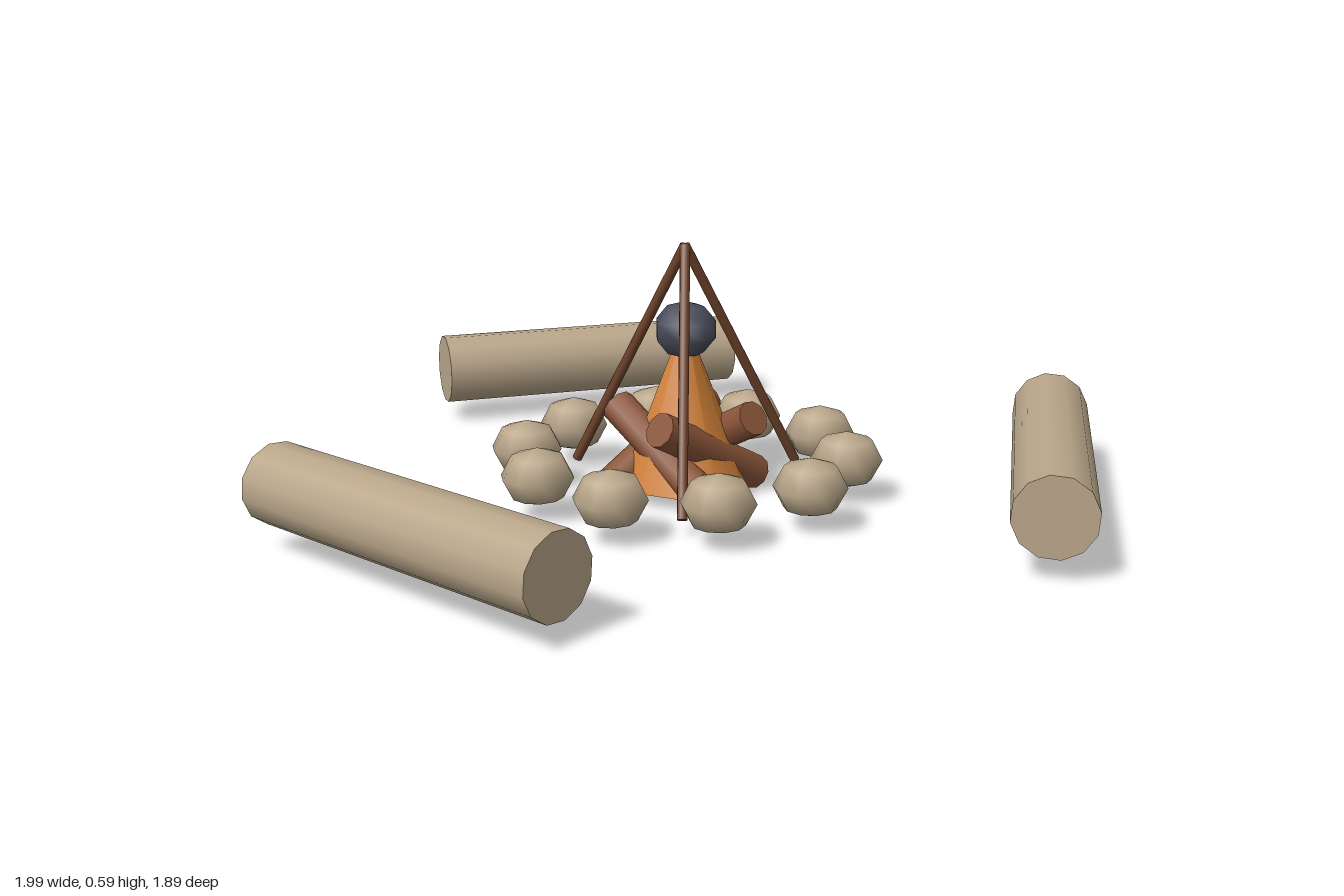
import * as THREE from 'three';

const mat = (name, color) => {
  const m = new THREE.MeshStandardMaterial({ color });
  m.name = name;
  return m;
};

export function createModel() {
  const tan = mat('paleWoodAndStone', 0xb9a68a);
  const brown = mat('firewoodBrown', 0x8b5539);
  const darkBrown = mat('poleBrown', 0x6f432c);
  const orange = mat('flameOrange', 0xd08038);
  const iron = mat('ironGrey', 0x4b4e5c);

  const model = new THREE.Group();
  model.name = 'campfire';
  const V = (x, y, z) => new THREE.Vector3(x, y, z);

  const add = (parent, name, geometry, material, pos) => {
    const mesh = new THREE.Mesh(geometry, material);
    mesh.name = name;
    mesh.position.copy(pos);
    parent.add(mesh);
    return mesh;
  };

  // Round bar running from point a to point b
  const bar = (parent, name, a, b, radius, sides, material) => {
    const dir = b.clone().sub(a);
    const geometry = new THREE.CylinderGeometry(radius, radius, dir.length(), sides);
    const mesh = add(parent, name, geometry, material, a.clone().add(b).multiplyScalar(0.5));
    mesh.quaternion.setFromUnitVectors(V(0, 1, 0), dir.normalize());
  };

  // Log seats around the fire
  [
    [-0.235, -0.86, 0.557, -0.72],
    [-0.915, -0.083, -0.625, 0.71],
    [0.927, 0.238, 0.38, 0.888],
  ].forEach(([x1, z1, x2, z2]) =>
    bar(model, 'logSeat', V(x1, 0.135, z1), V(x2, 0.135, z2), 0.09, 12, tan));

  // Fire pit
  const pit = new THREE.Group();
  pit.name = 'firePit';
  pit.position.set(0.015, 0, 0.025);
  model.add(pit);

  // Ring of stones
  const stoneGeometry = new THREE.SphereGeometry(0.083, 10, 4).scale(1, 0.8, 1);
  for (let i = 0; i < 10; i++) {
    const a = (i / 10) * Math.PI * 2;
    add(pit, 'stone', stoneGeometry, tan, V(0.375 * Math.cos(a), 0.095, 0.375 * Math.sin(a)));
  }

  // Firewood leaning in a pinwheel
  for (let i = 0; i < 4; i++) {
    const turn = (v) => v.applyAxisAngle(V(0, 1, 0), (i * Math.PI) / 2);
    bar(pit, 'firewood', turn(V(-0.125, 0.195, 0.11)), turn(V(0.168, 0.035, 0.04)), 0.041, 10, brown);
  }

  // Flame
  add(pit, 'flame', new THREE.ConeGeometry(0.15, 0.39, 10), orange, V(0, 0.225, 0));

  // Tripod and hanging pot
  for (let i = 0; i < 3; i++) {
    const a = (i / 3) * Math.PI * 2;
    bar(pit, 'tripodLeg', V(0.305 * Math.cos(a), 0.035, 0.305 * Math.sin(a)), V(0, 0.585, 0), 0.012, 8, darkBrown);
  }
  add(pit, 'pot', new THREE.SphereGeometry(0.075, 7, 5).scale(1, 0.88, 1), iron, V(0, 0.39, 0));

  return model;
}
